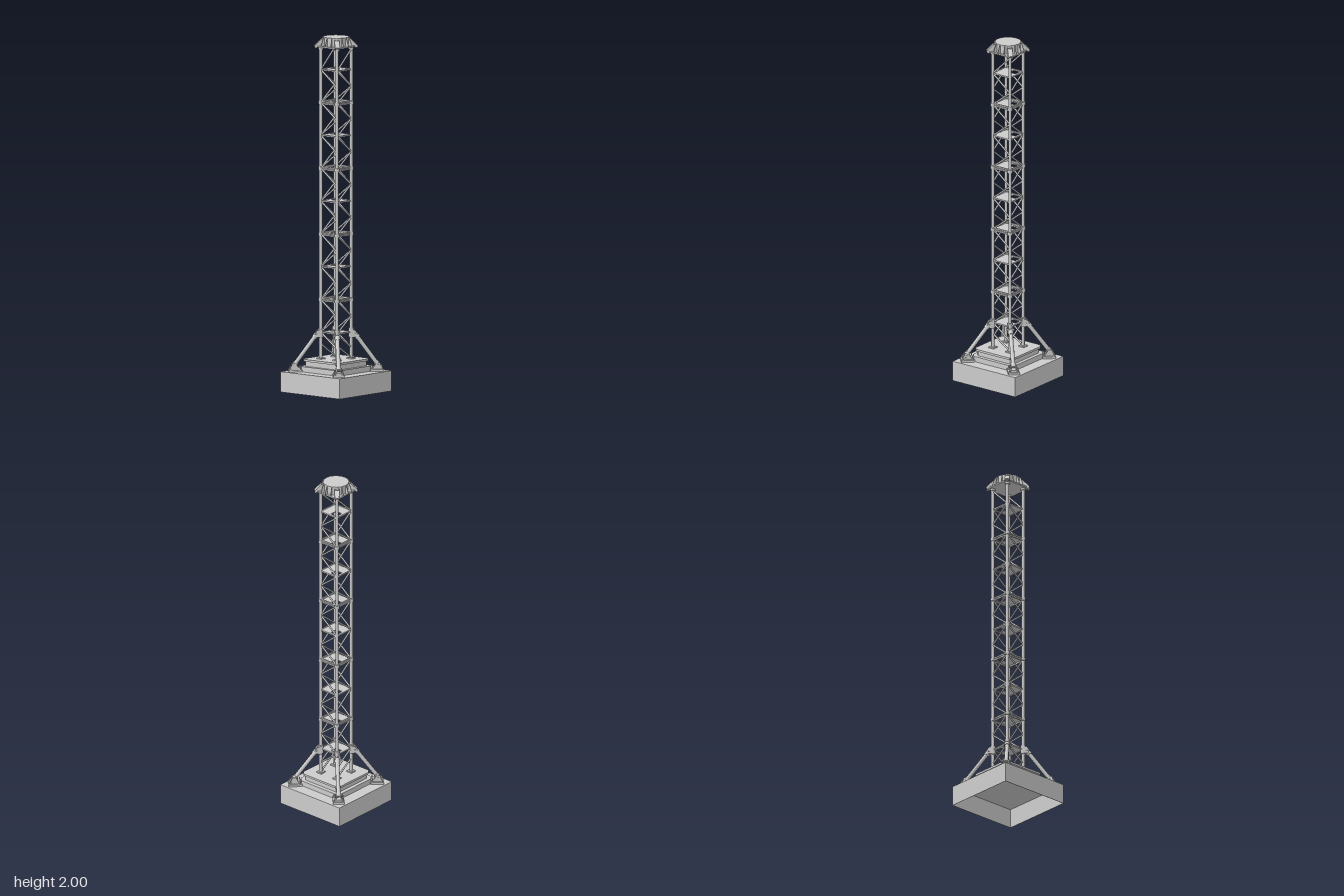
import * as THREE from 'three';

const mat = new THREE.MeshStandardMaterial({ color: 0xcccccc, flatShading: true, side: THREE.DoubleSide });
const smooth = new THREE.MeshStandardMaterial({ color: 0xcccccc });
const LEG = 0.06, FIRST = 0.335, STEP = 0.185, LEVELS = 9, FLOOR = 0.185, HEAD = 1.945;
const v = (x, y, z) => new THREE.Vector3(x, y, z);

function add(parent, name, geo, x = 0, y = 0, z = 0, m = mat) {
  const mesh = new THREE.Mesh(geo, m);
  mesh.name = name;
  mesh.position.set(x, y, z);
  parent.add(mesh);
  return mesh;
}
const box = (p, name, w, h, d, x, y, z) => add(p, name, new THREE.BoxGeometry(w, h, d), x, y, z);
const cyl = (p, name, r, h, x, y, z, sides = 10) =>
  add(p, name, new THREE.CylinderGeometry(r, r, h, sides), x, y, z, sides > 8 ? smooth : mat);

// Round bar between two points
function bar(p, name, a, b, r, sides = 8) {
  const mesh = add(p, name, new THREE.CylinderGeometry(r, r, a.distanceTo(b), sides), 0, 0, 0, smooth);
  mesh.position.copy(a).lerp(b, 0.5);
  mesh.quaternion.setFromUnitVectors(v(0, 1, 0), b.clone().sub(a).normalize());
  return mesh;
}

// Horizontal slab from an outline, standing on y
function slab(p, name, points, h, y, hole) {
  const shape = new THREE.Shape(points.map(([x, z]) => new THREE.Vector2(x, z)));
  if (hole) shape.holes.push(new THREE.Path(hole.map(([x, z]) => new THREE.Vector2(x, z))));
  const geo = new THREE.ExtrudeGeometry(shape, { depth: h, bevelEnabled: false });
  geo.rotateX(-Math.PI / 2);
  return add(p, name, geo, 0, y, 0);
}
const cutSquare = (s, c) => [[s, c - s], [s, s - c], [s - c, s], [c - s, s],
  [-s, s - c], [-s, c - s], [c - s, -s], [s - c, -s]];

// Upright plate in the x-y plane, centred on z = 0
function plate(p, name, points, t, z = 0) {
  const shape = new THREE.Shape(points.map(([x, y]) => new THREE.Vector2(x, y)));
  return add(p, name, new THREE.ExtrudeGeometry(shape, { depth: t, bevelEnabled: false }), 0, 0, z - t / 2);
}

function foundation() {
  const g = new THREE.Group();
  g.name = 'foundation';
  // Hollow block, open underneath
  const s = 0.22, h = 0.115;
  box(g, 'foundationTop', 2 * s, 0.004, 2 * s, 0, h - 0.002, 0);
  for (const k of [-1, 1]) {
    box(g, 'foundationWall', 0.002, h, 2 * s, k * (s - 0.001), h / 2, 0);
    box(g, 'foundationWall', 2 * s, h, 0.002, 0, h / 2, k * (s - 0.001));
  }
  // Stepped plinth under the mast
  slab(g, 'plinthFoot', cutSquare(0.15, 0.025), 0.03, h);
  slab(g, 'plinthWeb', cutSquare(0.128, 0.015), 0.03, 0.145);
  slab(g, 'plinthTop', cutSquare(0.138, 0.02), 0.012, 0.173);
  for (const x of [-1, 1]) for (const z of [-1, 1]) box(g, 'legPad', 0.036, 0.008, 0.036, x * LEG, 0.188, z * LEG);
  return g;
}

function mast() {
  const g = new THREE.Group();
  g.name = 'latticeMast';
  for (const x of [-1, 1]) for (const z of [-1, 1])
    cyl(g, 'mastLeg', 0.0095, HEAD - FLOOR, x * LEG, (HEAD + FLOOR) / 2, z * LEG, 12);

  for (let i = 0; i < LEVELS; i++) {
    const y = FIRST + STEP * i, joint = i % 2 === 1;
    // Horizontal frame, doubled where two mast sections are bolted together
    for (const dy of joint ? [-0.006, 0.006] : [0]) for (const k of [-1, 1]) {
      box(g, 'frameBar', 2 * LEG, 0.008, 0.008, 0, y + dy, k * LEG);
      box(g, 'frameBar', 0.008, 0.008, 2 * LEG, k * LEG, y + dy, 0);
    }
    if (joint) for (const x of [-1, 1]) for (const z of [-1, 1])
      cyl(g, 'legFlange', 0.0145, 0.018, x * LEG, y, z * LEG, 12);
    // Landing with a ladder hatch
    const s = 0.057;
    slab(g, 'landing', [[-s, -s], [s, -s], [s, s], [-s, s]], 0.004, y - 0.002,
      [[-0.048, 0.005], [-0.048, 0.048], [-0.005, 0.048], [-0.005, 0.005]]);
  }

  // Zigzag bracing, the same on opposite faces
  const brace = (y0, y1, k) => {
    bar(g, 'diagonalBrace', v(-LEG, y0, k * LEG), v(LEG, y1, k * LEG), 0.005);
    bar(g, 'diagonalBrace', v(k * LEG, y0, LEG), v(k * LEG, y1, -LEG), 0.005);
  };
  for (const k of [-1, 1]) {
    for (let i = 0; i < LEVELS; i++) {
      const y = FIRST + STEP * i, half = STEP / 2;
      if (i < LEVELS - 1) brace(y, y + half, k);
      if (i > 0) brace(y, y - half, k);
    }
    brace(FIRST, 0.25, k);
    bar(g, 'diagonalBrace', v(k * LEG, 0.27, LEG), v(k * LEG, 0.19, -LEG), 0.005);
    bar(g, 'diagonalBrace', v(k * LEG, 1.815, LEG), v(k * LEG, 1.93, -LEG), 0.005);
  }
  return g;
}

// Raking strut with its foot, built along +x and turned to a corner
function strut() {
  const g = new THREE.Group();
  g.name = 'cornerStrut';
  box(g, 'footPlate', 0.076, 0.012, 0.064, 0.228, 0.121, 0);
  box(g, 'footBlock', 0.056, 0.012, 0.038, 0.23, 0.133, 0);
  for (const x of [0.2015, 0.255]) for (const z of [-0.022, 0.022]) {
    cyl(g, 'anchorNut', 0.006, 0.012, x, 0.132, z, 6);
    cyl(g, 'anchorBolt', 0.003, 0.026, x, 0.136, z, 8);
  }
  for (const z of [-0.015, 0.015])
    plate(g, 'footLug', [[0.208, 0.135], [0.255, 0.135], [0.245, 0.163], [0.225, 0.163]], 0.006, z);
  const top = v(0.107, 0.325, 0), foot = v(0.235, 0.15, 0);
  bar(g, 'strutTube', top, foot, 0.0115, 12);
  bar(g, 'strutSleeve', top, top.clone().lerp(foot, 0.12), 0.015, 12);
  bar(g, 'strutSleeve', foot, foot.clone().lerp(top, 0.1), 0.014, 12);
  for (const p of [top, foot]) bar(g, 'hingePin', v(p.x, p.y, -0.021), v(p.x, p.y, 0.021), 0.005);
  // Clamp on the mast leg
  cyl(g, 'legClamp', 0.0155, 0.05, LEG * Math.SQRT2, 0.333, 0, 12);
  for (const z of [-0.014, 0.014])
    plate(g, 'clampLug', [[0.08, 0.305], [0.112, 0.308], [0.12, 0.325], [0.108, 0.345], [0.08, 0.355]], 0.006, z);
  return g;
}

function head() {
  const g = new THREE.Group();
  g.name = 'mastHead';
  slab(g, 'headPlate', cutSquare(0.084, 0.012), 0.008, HEAD - 0.003);
  add(g, 'headDrum', new THREE.CylinderGeometry(0.073, 0.073, 0.052, 16), 0, 1.974, 0);
  // Tapered ribs round the drum
  for (let i = 0; i < 16; i++) {
    const rib = plate(g, 'headRib', [[0.068, 1.95], [0.092, 1.95], [0.092, 1.957], [0.078, 1.998], [0.068, 1.998]], 0.003);
    const holder = new THREE.Group();
    holder.name = 'headRibMount';
    holder.add(rib);
    holder.rotation.y = i * Math.PI / 8;
    g.add(holder);
  }
  // Sloping corner brackets over the legs
  for (let i = 0; i < 4; i++) {
    const c = new THREE.Group();
    c.name = 'cornerBracket';
    for (const z of [-0.011, 0.011])
      plate(c, 'bracketCheek', [[0.07, 1.95], [0.118, 1.937], [0.122, 1.95], [0.082, 1.99], [0.07, 1.99]], 0.005, z);
    const cap = box(c, 'bracketCap', 0.048, 0.005, 0.024, 0.1, 1.967, 0);
    cap.rotation.z = -0.78;
    cyl(c, 'legCollar', 0.014, 0.016, LEG * Math.SQRT2, 1.938, 0, 12);
    c.rotation.y = Math.PI / 4 + i * Math.PI / 2;
    g.add(c);
  }
  return g;
}

export function createModel() {
  const model = new THREE.Group();
  model.name = 'latticeTower';
  model.add(foundation(), mast(), head());
  for (let i = 0; i < 4; i++) {
    const s = strut();
    s.rotation.y = Math.PI / 4 + i * Math.PI / 2;
    model.add(s);
  }
  return model;
}
